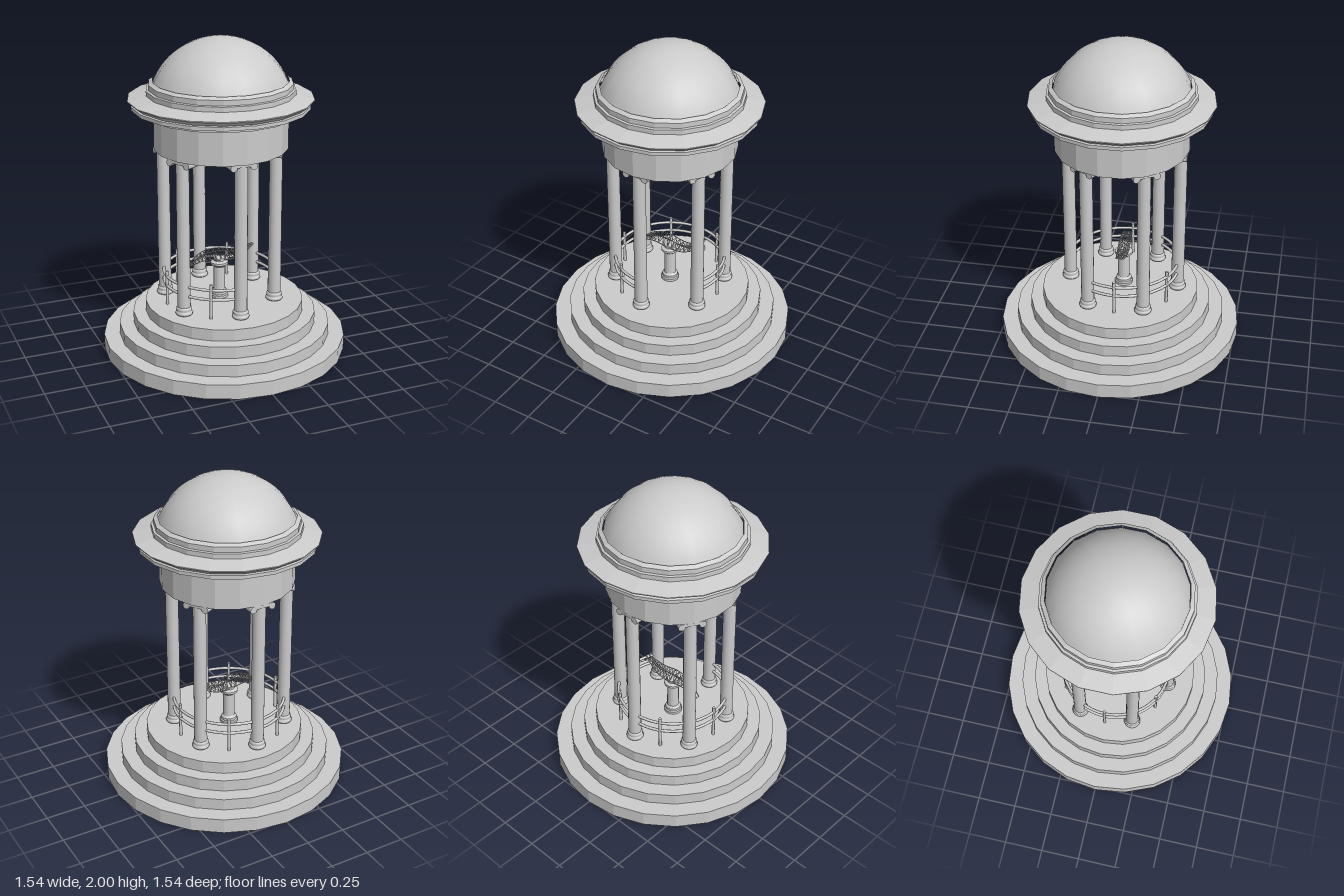
import * as THREE from 'three';

const flat = new THREE.MeshStandardMaterial({ color: 0xcccccc, flatShading: true });
const smooth = new THREE.MeshStandardMaterial({ color: 0xcccccc });

function add(parent, name, geometry, material = smooth) {
  const mesh = new THREE.Mesh(geometry, material);
  mesh.name = name;
  parent.add(mesh);
  return mesh;
}

const lathe = (points, sides) =>
  new THREE.LatheGeometry(points.map(([r, y]) => new THREE.Vector2(r, y)), sides);

// Straight rod between two points
function rod(parent, name, a, b, radius, sides = 5) {
  const dir = b.clone().sub(a);
  const mesh = add(parent, name, new THREE.CylinderGeometry(radius, radius, dir.length(), sides));
  mesh.position.copy(a).addScaledVector(dir, 0.5);
  mesh.quaternion.setFromUnitVectors(new THREE.Vector3(0, 1, 0), dir.normalize());
  return mesh;
}

const FLOOR = 0.32, RING = 0.351;

function createColumn() {
  const column = new THREE.Group();
  column.name = 'column';
  add(column, 'columnBase', lathe([
    [0, 0], [0.05, 0], [0.054, 0.008], [0.054, 0.016], [0.049, 0.024], [0.046, 0.027],
    [0.049, 0.032], [0.049, 0.042], [0.046, 0.048], [0.041, 0.052]], 16)).position.y = FLOOR;
  const shaft = add(column, 'columnShaft', new THREE.CylinderGeometry(0.04, 0.041, 0.95, 16));
  shaft.position.y = FLOOR + 0.525;
  // Capital: a pair of scrolls lying radially, joined by a slab
  for (const side of [-1, 1]) {
    const scroll = add(column, 'capitalScroll', new THREE.CylinderGeometry(0.022, 0.022, 0.09, 14), flat);
    scroll.rotation.x = Math.PI / 2;
    scroll.position.set(side * 0.064, 1.3, 0);
  }
  add(column, 'capitalSlab', new THREE.BoxGeometry(0.128, 0.022, 0.09)).position.y = 1.311;
  return column;
}

// Curved rail along the column ring, angle measured from +z towards +x
function createRail(start, end, y) {
  const points = [];
  for (let i = 0; i <= 8; i++) {
    const a = start + (end - start) * i / 8;
    points.push(new THREE.Vector3(Math.sin(a) * RING, y, Math.cos(a) * RING));
  }
  return new THREE.TubeGeometry(new THREE.CatmullRomCurve3(points), 16, 0.0095, 8);
}

// Open lattice ornament, tapering to both ends along an S-curve
function createOrnament() {
  const group = new THREE.Group();
  group.name = 'latticeOrnament';
  const curve = pts => new THREE.CatmullRomCurve3(pts.map(([x, y]) => new THREE.Vector3(x, y, 0)));
  const upper = curve([[-0.215, 0.548], [-0.15, 0.607], [-0.09, 0.632], [0, 0.637], [0.08, 0.621], [0.15, 0.627], [0.23, 0.643]]);
  const lower = curve([[-0.215, 0.548], [-0.15, 0.576], [-0.09, 0.588], [0, 0.577], [0.08, 0.571], [0.15, 0.59], [0.23, 0.643]]);
  const COUNT = 16;
  const at = (path, t, z) => {
    const p = path.getPoint(t);
    p.z = z * (0.35 + 0.65 * Math.sin(Math.PI * t));
    return p;
  };
  for (const [path, half] of [[upper, 0.026], [lower, 0.034]]) {
    for (const side of [-1, 1]) {
      const points = [];
      for (let i = 0; i <= COUNT; i++) points.push(at(path, i / COUNT, side * half));
      add(group, 'ornamentRail', new THREE.TubeGeometry(new THREE.CatmullRomCurve3(points), 32, 0.003, 5));
    }
  }
  for (let i = 0; i <= COUNT; i++) {
    const t = i / COUNT;
    const [ul, ur, ll, lr] = [at(upper, t, -0.026), at(upper, t, 0.026), at(lower, t, -0.034), at(lower, t, 0.034)];
    rod(group, 'ornamentRung', ul, ur, 0.002);
    rod(group, 'ornamentRung', ll, lr, 0.002);
    if (i === 0 || i === COUNT) continue;
    rod(group, 'ornamentRib', ul, ll, 0.002);
    rod(group, 'ornamentRib', ur, lr, 0.002);
    rod(group, 'ornamentBrace', ul, lr, 0.002);
    rod(group, 'ornamentBrace', ur, ll, 0.002);
  }
  return group;
}

export function createModel() {
  const model = new THREE.Group();
  model.name = 'domedPavilion';

  // Stepped platform
  [[0.77, 0, 0.095], [0.67, 0.095, 0.17], [0.58, 0.17, 0.245], [0.5, 0.245, FLOOR]].forEach(([r, y0, y1]) => {
    add(model, 'platformStep', new THREE.CylinderGeometry(r, r, y1 - y0, 24), flat).position.y = (y0 + y1) / 2;
  });

  // Everything above the platform sits slightly off its centre
  const temple = new THREE.Group();
  temple.name = 'temple';
  temple.position.set(-0.025, 0, -0.019);
  model.add(temple);

  // Columns, with rails and a post in every bay but the entrance
  for (let i = 0; i < 6; i++) {
    const a = i * Math.PI / 3;
    const column = createColumn();
    column.position.set(Math.sin(a) * RING, 0, Math.cos(a) * RING);
    column.rotation.y = a;
    temple.add(column);
    if (i === 0) continue;
    for (const y of [0.445, 0.507]) add(temple, 'rail', createRail(a, a + Math.PI / 3, y));
    const mid = a + Math.PI / 6;
    const post = add(temple, 'railPost', new THREE.CylinderGeometry(0.01, 0.01, 0.225, 8));
    post.position.set(Math.sin(mid) * RING, FLOOR + 0.1125, Math.cos(mid) * RING);
  }

  // Pedestal and its ornament
  add(temple, 'pedestal', lathe([
    [0, 0], [0.057, 0], [0.057, 0.016], [0.05, 0.022], [0.05, 0.038], [0.043, 0.045], [0.038, 0.052],
    [0.037, 0.205], [0.045, 0.216], [0.057, 0.222], [0.057, 0.236], [0.045, 0.24], [0.036, 0.245], [0.036, 0.262], [0, 0.262]], 16),
    flat).position.y = FLOOR;
  temple.add(createOrnament());

  // Roof: drum, cornice and dome
  const roof = new THREE.Group();
  roof.name = 'roof';
  roof.position.set(-0.018, 0, -0.008);
  model.add(roof);
  add(roof, 'drum', lathe([[0, 1.322], [0.414, 1.322], [0.414, 1.545]], 18), flat);
  add(roof, 'cornice', lathe([
    [0.414, 1.545], [0.478, 1.545], [0.478, 1.572], [0.545, 1.575], [0.545, 1.597], [0.53, 1.6],
    [0.568, 1.628], [0.568, 1.634], [0.455, 1.66], [0.455, 1.69], [0.44, 1.693], [0.44, 1.725], [0.415, 1.74]], 18), flat);

  const dome = [];
  const R = 0.446, base = 0.413;
  for (let i = 0; i <= 14; i++) {
    const a = Math.asin(base / R) * (1 - i / 14);
    dome.push([Math.sin(a) * R, 2 - R + Math.cos(a) * R]);
  }
  add(roof, 'dome', lathe(dome, 18));
  return model;
}
